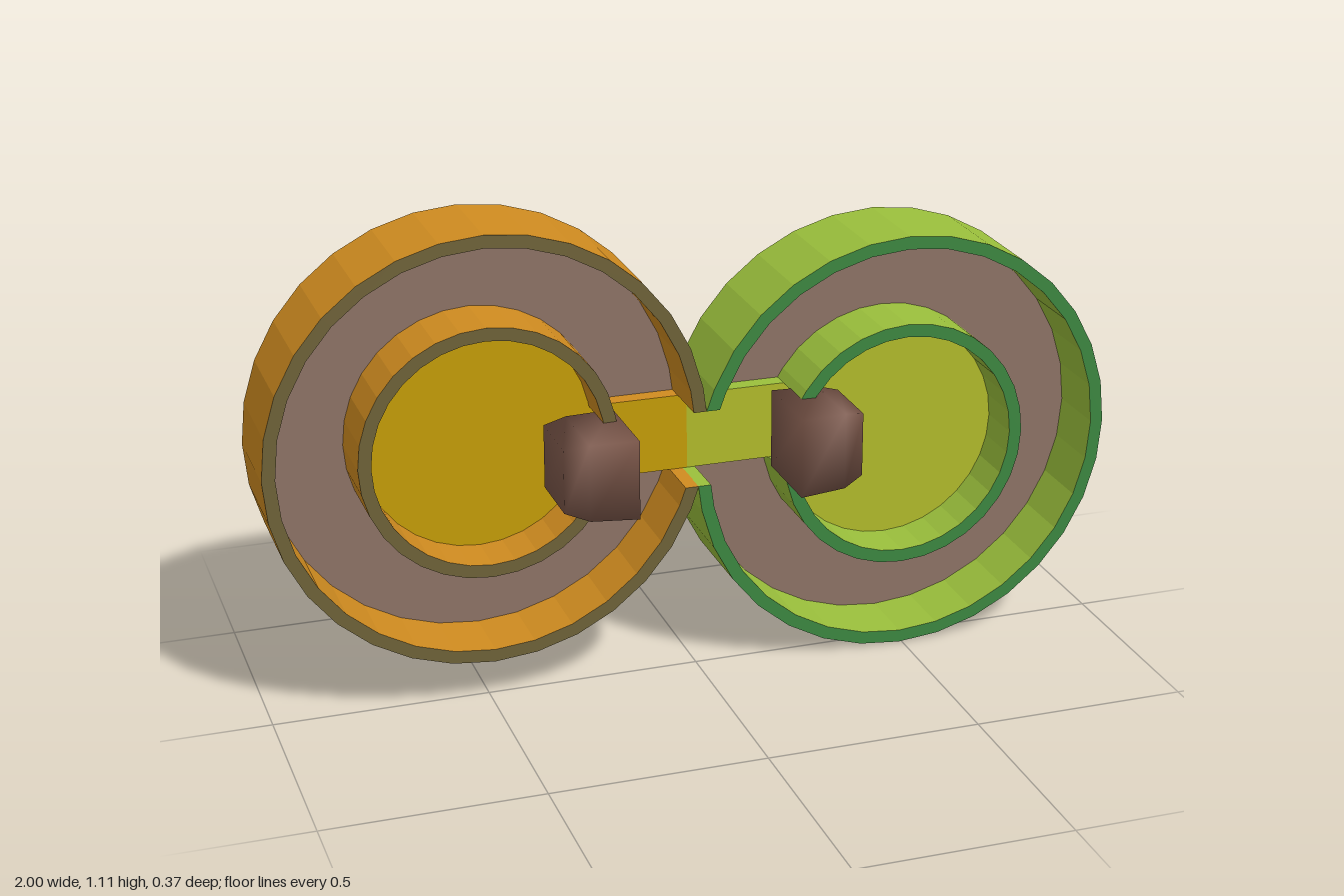
import * as THREE from 'three';
import { mergeVertices } from 'three/addons/utils/BufferGeometryUtils.js';

const STEP = Math.PI / 16; // 32-sided rounds
const R_OUT = 0.505, R_IN = 0.295, WALL = 0.03;
const BACK = -0.185, FLOOR = -0.11, POOL = -0.065, FRONT = 0.052;
const NOTCH_LOW = 0.47, NOTCH_HIGH = 0.65;

function material(name, color) {
  const m = new THREE.MeshStandardMaterial({ color });
  m.name = name;
  return m;
}

// Points of a 32-sided arc, keeping the exact end angles
function arc(r, a0, a1, dir) {
  const pts = [[r, a0]];
  for (let i = Math.ceil(a0 / STEP + 0.01); i * STEP < a1 - 0.01; i++) pts.push([r, i * STEP]);
  pts.push([r, a1]);
  return pts.map(([q, a]) => new THREE.Vector2(dir * q * Math.cos(a), q * Math.sin(a)));
}

function circle(r) {
  return arc(r, 0, Math.PI * 2, 1).slice(0, -1);
}

function slab(name, shape, z0, z1, capMat, sideMat) {
  const geo = new THREE.ExtrudeGeometry(shape, { depth: z1 - z0, bevelEnabled: false });
  geo.translate(0, 0, z0);
  const mesh = new THREE.Mesh(geo, [capMat, sideMat]);
  mesh.name = name;
  return mesh;
}

// Ring wall with a notch of constant height on the side facing dir
function notchedRing(r, low, high, dir) {
  const ri = r - WALL;
  const ends = (q) => [Math.asin(high / q), Math.PI * 2 + Math.asin(low / q)];
  const outer = arc(r, ...ends(r), dir);
  const inner = arc(ri, ...ends(ri), dir).reverse();
  return new THREE.Shape([...outer, ...inner]);
}

// Round dish with two walls, a raised pool and a channel toward the middle
function dish(name, cx, cy, back, mats) {
  const g = new THREE.Group();
  g.name = name;
  g.position.set(cx, cy, 0);
  const dir = -Math.sign(cx);
  const low = NOTCH_LOW - cy, high = NOTCH_HIGH - cy;

  g.add(slab('base', new THREE.Shape(circle(R_OUT)), back, FLOOR, mats.floor, mats.wall));

  const moat = new THREE.Shape(circle(R_OUT - WALL / 2));
  moat.holes.push(new THREE.Path(circle(R_IN - WALL / 2)));
  g.add(slab('moatFloor', moat, FLOOR, FLOOR + 0.005, mats.moat, mats.moat));

  g.add(slab('poolFloor', new THREE.Shape(circle(R_IN - WALL / 2)), FLOOR, POOL, mats.floor, mats.wall));
  g.add(slab('outerWall', notchedRing(R_OUT, low, high, dir), FLOOR, FRONT, mats.rim, mats.wall));
  g.add(slab('innerWall', notchedRing(R_IN, low, high, dir), FLOOR, FRONT, mats.rim, mats.wall));

  // Channel floor ends at the middle plane
  const x0 = dir * 0.24, x1 = -cx;
  const channel = new THREE.Shape([
    new THREE.Vector2(x0, low), new THREE.Vector2(x1, low),
    new THREE.Vector2(x1, high), new THREE.Vector2(x0, high),
  ]);
  g.add(slab('channelFloor', channel, FLOOR, POOL, mats.floor, mats.wall));
  return g;
}

// Smooth gate block that tapers away from the middle
function gate(name, side, mat) {
  const geo = new THREE.BoxGeometry(0.16, 0.18, 1, 2, 1, 1);
  const p = geo.attributes.position;
  for (let i = 0; i < p.count; i++) {
    const t = Math.round((p.getX(i) * side) / 0.08); // -1 middle end, 1 outer end
    const x = [0.19, 0.3, 0.352][t + 1];
    const half = [0.093, 0.09, 0.075][t + 1];
    const z = [0.182, 0.167, 0.14][t + 1];
    p.setXYZ(i, side * x, 0.56 + Math.sign(p.getY(i)) * half, p.getZ(i) > 0 ? z : -0.02);
  }
  geo.deleteAttribute('normal');
  geo.deleteAttribute('uv');
  const smooth = mergeVertices(geo);
  smooth.computeVertexNormals();
  const mesh = new THREE.Mesh(smooth, mat);
  mesh.name = name;
  return mesh;
}

export function createModel() {
  const group = new THREE.Group();
  group.name = 'twinDishes';
  const moat = material('dusty brown', 0x8d7265);
  const gateBrown = material('dark brown', 0x795548);
  const amber = {
    floor: material('gold', 0xc49c06), wall: material('orange', 0xd08c20),
    rim: material('olive', 0x6e6238), moat,
  };
  const lime = {
    floor: material('yellow green', 0xb0ba2b), wall: material('leaf green', 0x9bc03c),
    rim: material('deep green', 0x3c8740), moat,
  };
  group.add(dish('rightDish', -0.495, 0.61, BACK, amber));
  group.add(dish('leftDish', 0.493, 0.507, BACK + 0.001, lime));
  group.add(gate('rightGate', -1, gateBrown));
  group.add(gate('leftGate', 1, gateBrown));
  return group;
}
